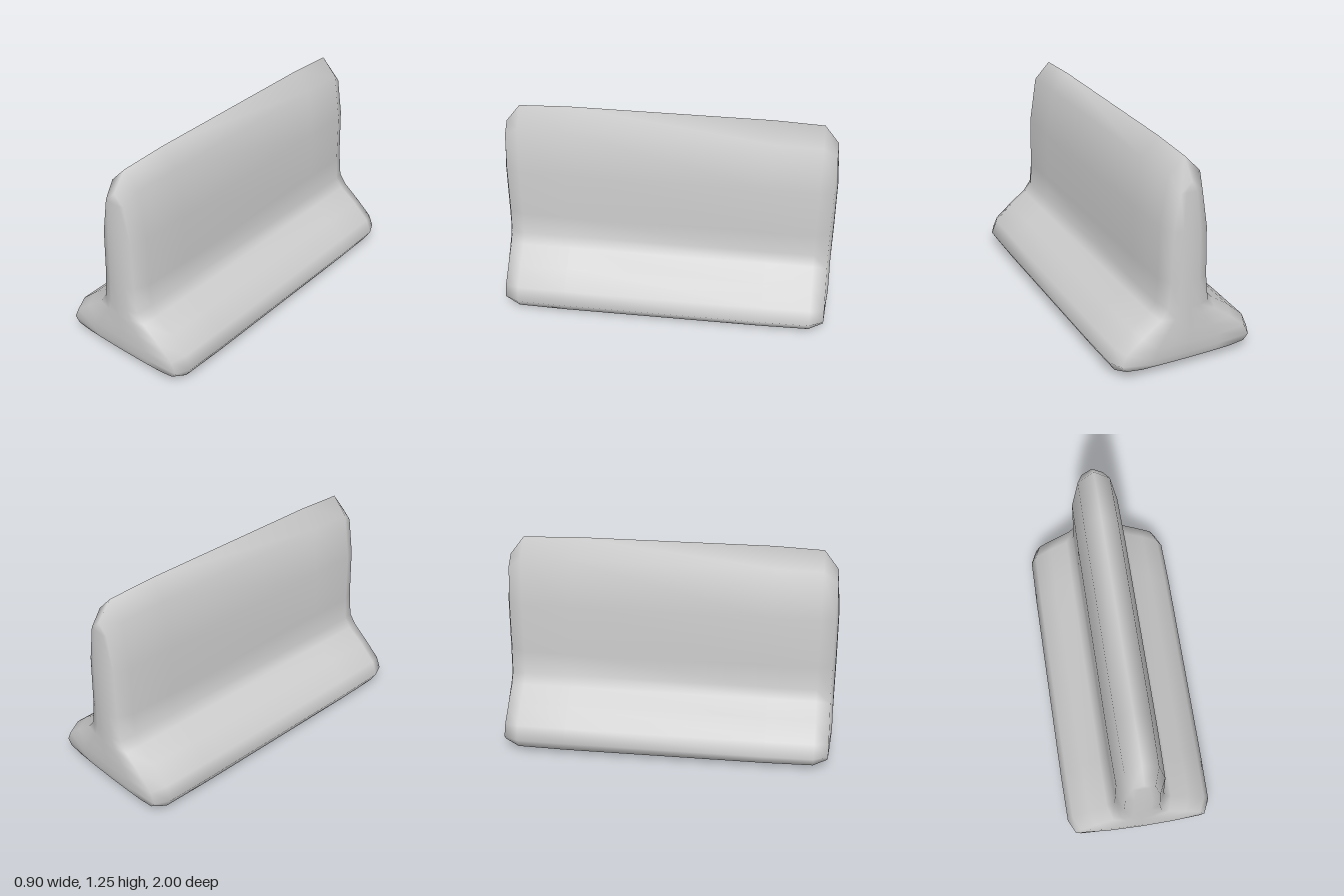
import * as THREE from 'three';
import { mergeVertices } from 'three/addons/utils/BufferGeometryUtils.js';

// Half profile from bottom to ridge: full x, y, then inset end-rim x, y, and end bulge
const PROFILE = [
  [0, 0, 0, 0.05, 0],
  [0.3, 0.008, 0.28, 0.052, 0.005],
  [0.41, 0.035, 0.375, 0.065, 0.01],
  [0.45, 0.1, 0.405, 0.1, 0.02],
  [0.415, 0.185, 0.375, 0.165, 0.025],
  [0.31, 0.28, 0.28, 0.245, 0.025],
  [0.2, 0.355, 0.17, 0.33, 0.025],
  [0.157, 0.41, 0.125, 0.39, 0.025],
  [0.15, 0.55, 0.108, 0.55, 0.025],
  [0.146, 0.86, 0.1, 0.85, 0.022],
  [0.1, 1.15, 0.065, 1.07, 0.006],
  [0, 1.255, 0, 1.13, 0],
];

// Stations from the middle to the end: z, inset amount, width factor, bulge factor
const STATIONS = [
  [0.6, 0, 1, 0],
  [0.89, 0.1, 1, 0],
  [0.975, 1, 1, 0],
  [0.975, 1, 0.5, 0.8],
  [0.975, 1, 0, 1],
];

// Closed cross-section, counterclockwise from the front
function crossSection([z, inset, width, bulge], side) {
  const half = PROFILE.map(([x, y, rx, ry, b]) => [
    THREE.MathUtils.lerp(x, rx, inset) * width,
    THREE.MathUtils.lerp(y, ry, inset),
    side * (z + b * bulge),
  ]);
  const mirrored = half.slice(1, -1).reverse().map(([x, y, zz]) => [-x, y, zz]);
  return [...half, ...mirrored];
}

function barrierGeometry() {
  const rings = [
    ...STATIONS.slice().reverse().map((s) => crossSection(s, -1)),
    ...STATIONS.map((s) => crossSection(s, 1)),
  ];
  const n = rings[0].length;
  const index = [];
  for (let r = 0; r < rings.length - 1; r++) {
    for (let i = 0; i < n; i++) {
      const j = (i + 1) % n;
      const a = r * n + i, b = r * n + j, c = b + n, d = a + n;
      index.push(a, b, c, a, c, d);
    }
  }
  const geometry = new THREE.BufferGeometry();
  geometry.setAttribute('position', new THREE.Float32BufferAttribute(rings.flat(2), 3));
  geometry.setIndex(index);
  // Weld the end spines so the whole body shades smoothly
  const welded = mergeVertices(geometry, 1e-4);
  welded.computeVertexNormals();
  return welded;
}

export function createModel() {
  const group = new THREE.Group();
  group.name = 'roadBarrier';
  const body = new THREE.Mesh(
    barrierGeometry(),
    new THREE.MeshStandardMaterial({ color: 0xcccccc }),
  );
  body.name = 'barrierBody';
  group.add(body);
  return group;
}
